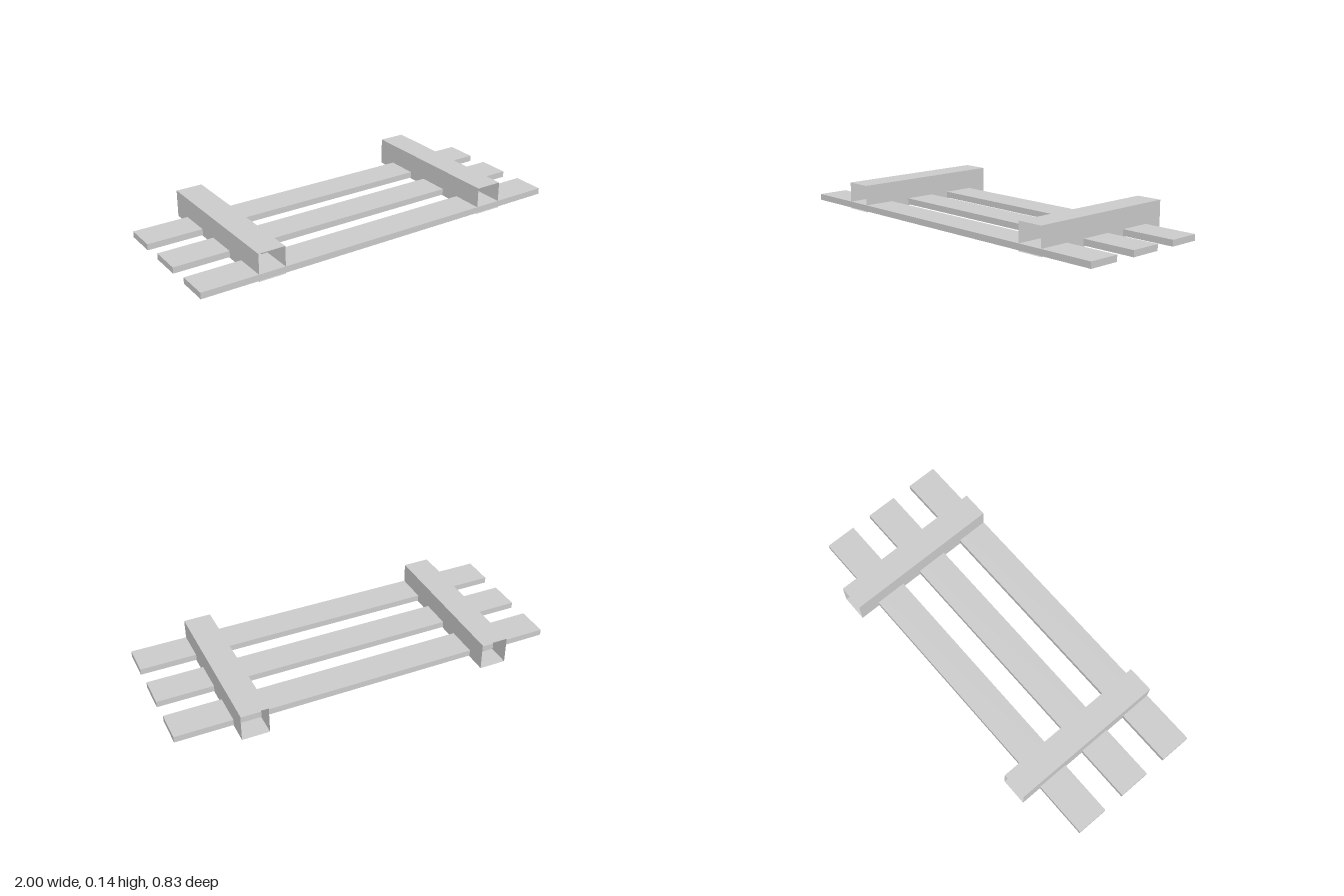
import * as THREE from 'three';

const DEPTH = 0.83;          // overall z extent
const BEAM_W = 0.139, BEAM_H = 0.141, BEAM_X = 0.6395;
const PLANK_W = 0.166, PLANK_H = 0.032, PLANK_STEP = 0.277;

// Four-walled box tube along z with open ends, resting on y = 0
function tubeGeometry(w, h, d) {
  const shape = [[-w / 2, 0], [w / 2, 0], [w / 2, h], [-w / 2, h]];
  const positions = [];
  shape.forEach(([ax, ay], i) => {
    const [bx, by] = shape[(i + 1) % 4];
    const z = d / 2;
    positions.push(ax, ay, z, ax, ay, -z, bx, by, -z);
    positions.push(ax, ay, z, bx, by, -z, bx, by, z);
  });
  const geometry = new THREE.BufferGeometry();
  geometry.setAttribute('position', new THREE.Float32BufferAttribute(positions, 3));
  geometry.computeVertexNormals();
  return geometry;
}

export function createModel() {
  const model = new THREE.Group();
  model.name = 'plankRack';

  const grey = new THREE.MeshStandardMaterial({ color: 0xcccccc, side: THREE.DoubleSide });
  grey.name = 'light grey';

  // Two hollow cross beams
  const beamGeometry = tubeGeometry(BEAM_W, BEAM_H, DEPTH);
  for (const side of [-1, 1]) {
    const beam = new THREE.Mesh(beamGeometry, grey);
    beam.name = side > 0 ? 'leftBeam' : 'rightBeam';
    beam.position.x = side * BEAM_X;
    model.add(beam);
  }

  // Three long planks through the beams, the first flush with their front ends
  const plankGeometry = new THREE.BoxGeometry(2, PLANK_H, PLANK_W);
  ['frontPlank', 'middlePlank', 'backPlank'].forEach((name, i) => {
    const plank = new THREE.Mesh(plankGeometry, grey);
    plank.name = name;
    plank.position.set(0, 0.005 + PLANK_H / 2, DEPTH / 2 - PLANK_W / 2 - i * PLANK_STEP);
    model.add(plank);
  });

  return model;
}
